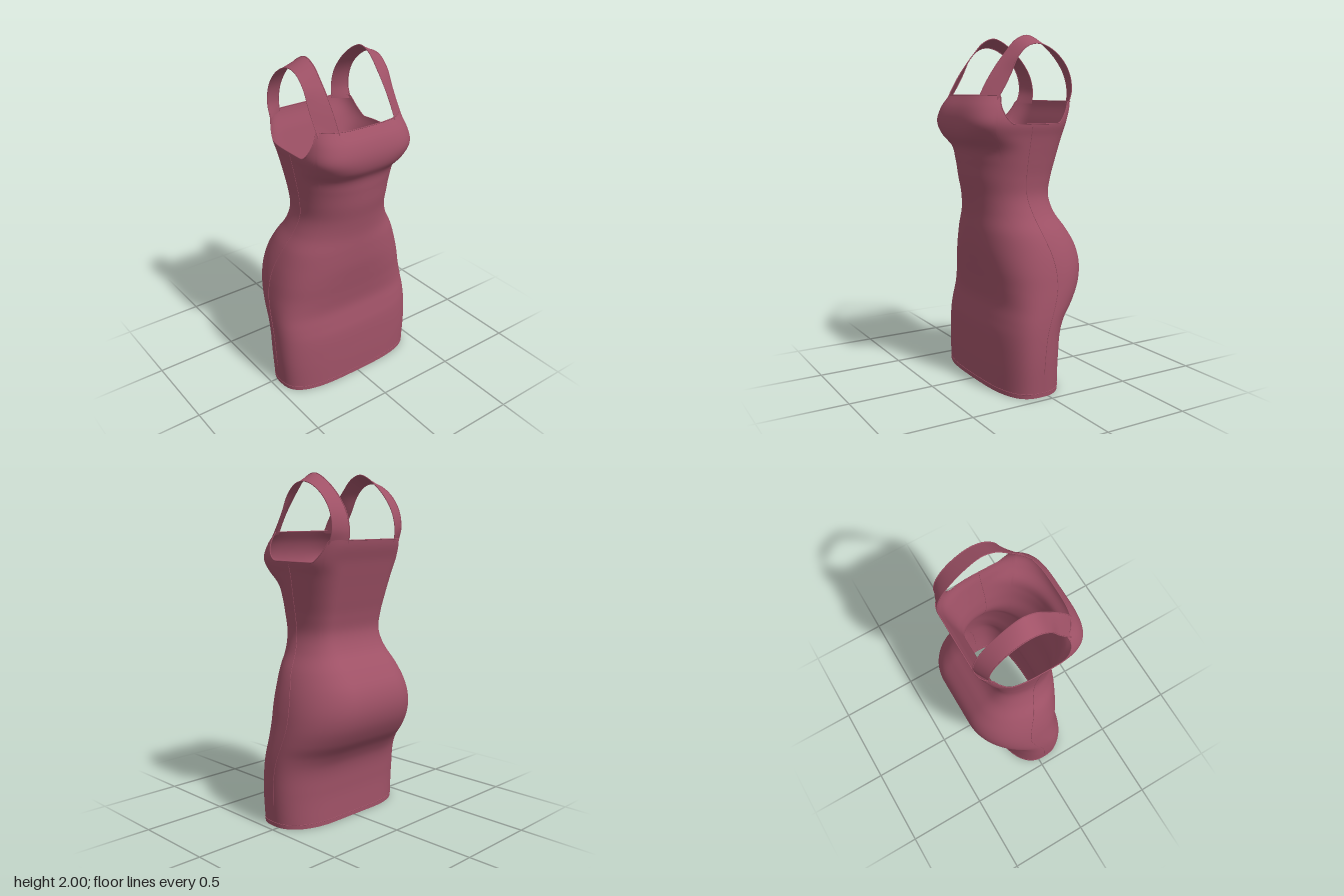
import * as THREE from 'three';

// Body profile: height, half width, front z, back z, side seam z,
// front and back roundness (2 = elliptical, higher = squarer)
const PROFILE = [
  [0, 0.458, 0.23, -0.165, 0.03, 3.1, 2.2],
  [0.2, 0.47, 0.23, -0.165, 0.027, 3.1, 2.2],
  [0.35, 0.47, 0.224, -0.185, 0.01, 3.1, 2.1],
  [0.42, 0.467, 0.212, -0.222, -0.01, 3.2, 2],
  [0.5, 0.46, 0.2, -0.285, -0.04, 3.2, 2],
  [0.6, 0.447, 0.208, -0.338, -0.068, 3, 2],
  [0.7, 0.43, 0.222, -0.355, -0.07, 2.8, 2],
  [0.8, 0.404, 0.235, -0.335, -0.052, 2.5, 2],
  [0.9, 0.365, 0.24, -0.275, -0.02, 2.3, 2.1],
  [1, 0.31, 0.242, -0.2, 0.005, 2.15, 2.2],
  [1.1, 0.277, 0.255, -0.166, 0.027, 2.1, 2.3],
  [1.2, 0.28, 0.275, -0.178, 0.035, 2.1, 2.4],
  [1.3, 0.295, 0.288, -0.203, 0.035, 2.15, 2.5],
  [1.38, 0.309, 0.302, -0.224, 0.032, 2.4, 2.6],
  [1.44, 0.32, 0.342, -0.24, 0.03, 3.1, 2.7],
  [1.515, 0.336, 0.356, -0.26, 0.03, 3.9, 2.9],
  [1.6, 0.322, 0.335, -0.288, 0.03, 3.7, 3],
  [1.67, 0.303, 0.29, -0.3, 0.03, 3.2, 3],
];
const BACK_FLAT = 0.16; // half width of the flat panel down the back
const spline = new THREE.CubicInterpolant(
  PROFILE.map((p) => p[0]), PROFILE.flatMap((p) => p.slice(1)), 6, new Float32Array(6));

// Half of a cross-section, on the front (+1) or back (-1)
function halfSection(y, face) {
  const [w, f, b, s, nf, nb] = spline.evaluate(y);
  return face > 0
    ? { w, s, depth: f - s, n: nf, flat: 0 }
    : { w, s, depth: s - b, n: nb, flat: BACK_FLAT / w };
}
const corner = (x, flat) => Math.max(0, x - flat) / (1 - flat);

// Point on the body at angle t (0 = left seam, 90 degrees = front)
function bodyPoint(t, y) {
  const c = Math.cos(t), d = Math.sin(t);
  const { w, s, depth, n, flat } = halfSection(y, d);
  let lo = 0.9, hi = 1.5;
  for (let i = 0; i < 24; i++) {
    const r = (lo + hi) / 2;
    if (corner(r * Math.abs(c), flat) ** n + (r * Math.abs(d)) ** n < 1) lo = r;
    else hi = r;
  }
  return new THREE.Vector3(c * lo * w, y, s + d * lo * depth);
}

// Body depth at a given x
function bodyZ(x, y, face) {
  const { w, s, depth, n, flat } = halfSection(y, face);
  return s + face * depth * (1 - corner(x / w, flat) ** n) ** (1 / n);
}

// Top edge: straight necklines front and back, scooped armholes at the sides
function topEdge(t) {
  const d = Math.sin(t);
  const a = THREE.MathUtils.radToDeg(Math.asin(Math.abs(d)));
  const [low, high, top] = d > 0 ? [18, 36, 1.67] : [32, 43, 1.635];
  const p = THREE.MathUtils.clamp((a - low) / (high - low), 0, 1);
  return 1.515 + (top - 1.515) * p * p;
}

// Surface through a grid of points
function gridSurface(cols, rows, closed, pointAt) {
  const pos = [], index = [];
  const count = closed ? cols : cols + 1;
  for (let i = 0; i < count; i++)
    for (let j = 0; j <= rows; j++) pos.push(...pointAt(i / cols, j / rows).toArray());
  for (let i = 0; i < cols; i++)
    for (let j = 0; j < rows; j++) {
      const a = i * (rows + 1) + j, b = ((i + 1) % count) * (rows + 1) + j;
      index.push(a, a + 1, b + 1, a, b + 1, b);
    }
  const g = new THREE.BufferGeometry();
  g.setAttribute('position', new THREE.Float32BufferAttribute(pos, 3));
  g.setIndex(index);
  g.computeVertexNormals();
  return g;
}

export function createModel() {
  const model = new THREE.Group();
  model.name = 'dress';
  const fabric = new THREE.MeshStandardMaterial({ color: 0xa05267, side: THREE.DoubleSide });
  fabric.name = 'rose fabric';

  const add = (name, geometry, parent = model) => {
    const mesh = new THREE.Mesh(geometry, fabric);
    mesh.name = name;
    parent.add(mesh);
  };
  const piping = (name, points, radius, closed, parent) => {
    const curve = new THREE.CatmullRomCurve3(points, closed);
    add(name, new THREE.TubeGeometry(curve, points.length * 2, radius, 6, closed), parent);
  };
  const ring = (fn) => Array.from({ length: 160 }, (_, i) => fn((i / 160) * Math.PI * 2));

  // Fitted body, open at neck and hem
  add('body', gridSurface(200, 110, true, (u, v) => {
    const t = u * Math.PI * 2;
    return bodyPoint(t, topEdge(t) * v);
  }));

  // Stitched edges
  piping('topEdgePiping', ring((t) => bodyPoint(t, topEdge(t) - 0.002)), 0.003, true);
  piping('hemStitch', ring((t) => bodyPoint(t, 0.025)), 0.002, true);

  // Side seams
  for (const [name, t] of [['leftSeam', 0], ['rightSeam', Math.PI]]) {
    const pts = Array.from({ length: 40 }, (_, i) => bodyPoint(t, 0.13 + (i / 39) * 1.37));
    piping(name, pts, 0.002, false);
  }

  // Shoulder straps: a ribbon between an inner and an outer edge, as (z, y) paths
  const innerX = 0.185, outerX = 0.28;
  const innerPath = [
    [bodyZ(innerX, 1.655, 1), 1.655], [0.24, 1.735], [0.19, 1.81], [0.12, 1.897], [0.05, 1.97],
    [-0.02, 1.996], [-0.09, 1.972], [-0.2, 1.885], [-0.272, 1.785], [-0.297, 1.69],
    [bodyZ(innerX, 1.615, -1), 1.615],
  ];
  const outerPath = [
    [bodyZ(outerX, 1.645, 1), 1.645], [0.178, 1.715], [0.138, 1.785], [0.092, 1.875],
    [0.03, 1.933], [-0.04, 1.948], [-0.12, 1.922], [-0.2, 1.858], [-0.247, 1.78], [-0.26, 1.69],
    [bodyZ(outerX, 1.61, -1), 1.61],
  ];
  for (const [side, name] of [[1, 'leftStrap'], [-1, 'rightStrap']]) {
    const strap = new THREE.Group();
    strap.name = name;
    model.add(strap);
    const edge = (path, x) =>
      new THREE.CatmullRomCurve3(path.map(([z, y]) => new THREE.Vector3(side * x, y, z)));
    const inner = edge(innerPath, innerX), outer = edge(outerPath, outerX);
    add('strapRibbon', gridSurface(60, 4, false, (u, v) =>
      inner.getPoint(u).lerp(outer.getPoint(u), v)), strap);
    piping('strapInnerPiping', inner.getPoints(40), 0.003, false, strap);
    piping('strapOuterPiping', outer.getPoints(40), 0.003, false, strap);
  }
  return model;
}
